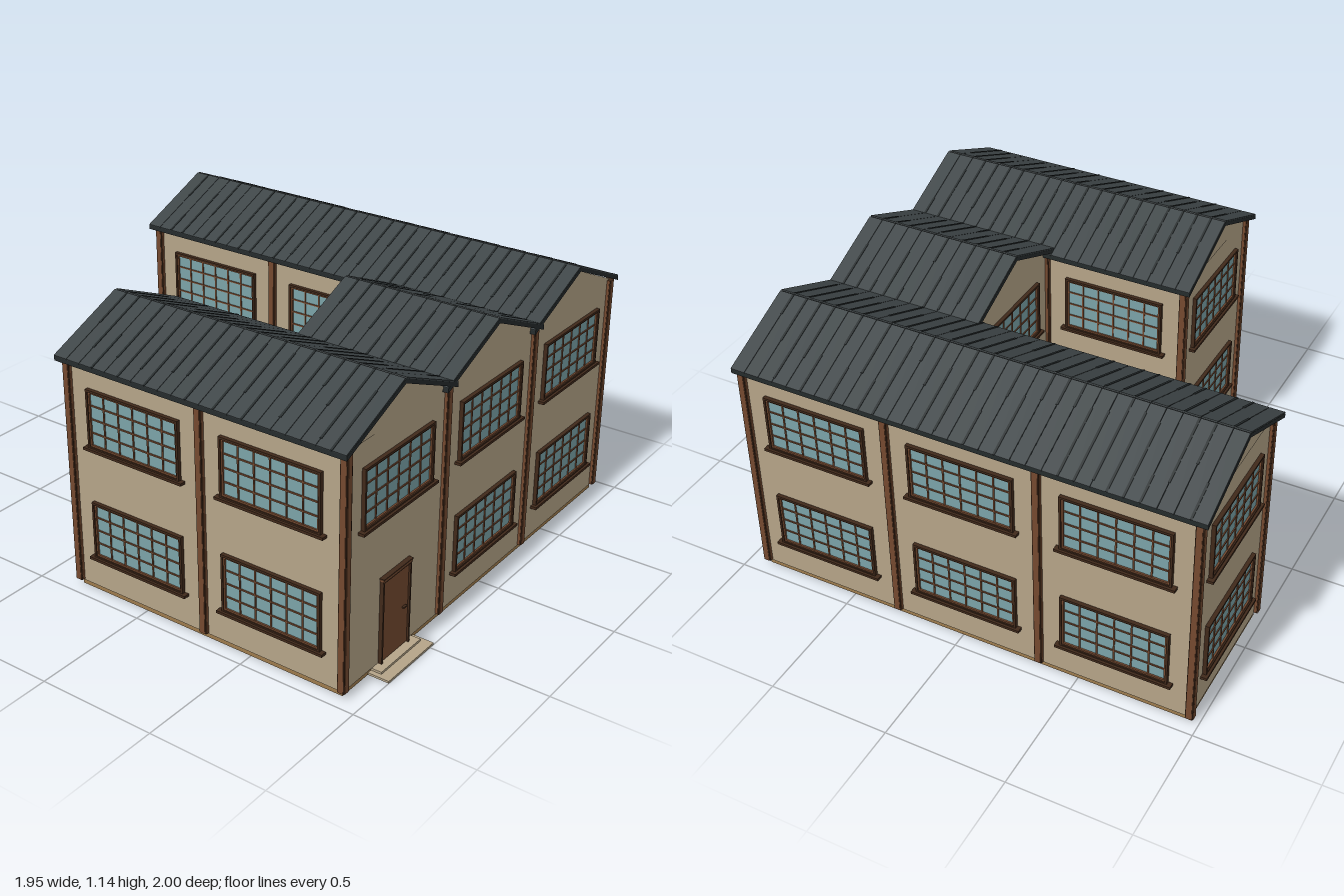
import * as THREE from 'three';

const mat = (name, color, side = THREE.FrontSide) => {
  const m = new THREE.MeshStandardMaterial({ color, side });
  m.name = name;
  return m;
};

// Layout: three bays across, pitch BAY; front wall at z = FRONT
const BAY = 0.626, HALF = BAY / 2, FRONT = 0.914, EAVE = 0.98;
const zLine = (n) => FRONT - n * BAY;

export function createModel() {
  const wall = mat('plaster', 0xb5a488);
  const stone = mat('foundation stone', 0x9c7a4c);
  const wood = mat('brown wood', 0x74492f);
  const darkWood = mat('dark wood', 0x40291a);
  const glass = mat('window glass', 0x7ba3a8);
  const slate = mat('roof slate', 0x3e4547);
  const darkSlate = mat('dark roof', 0x252b2c);

  const root = new THREE.Group();
  root.name = 'building';

  const add = (parent, name, geometry, material, x = 0, y = 0, z = 0) => {
    const mesh = new THREE.Mesh(geometry, material);
    mesh.name = name;
    mesh.position.set(x, y, z);
    parent.add(mesh);
    return mesh;
  };
  const box = (parent, name, material, w, h, d, x, y, z) =>
    add(parent, name, new THREE.BoxGeometry(w, h, d), material, x, y, z);

  // U-shaped footprint, extruded upward; inset shrinks it on every side
  const footprint = (inset, height) => {
    const o = 1.5 * BAY - inset, i = HALF + inset;
    const pts = [
      [-o, -FRONT + inset], [o, -FRONT + inset], [o, -zLine(3) - inset], [i, -zLine(3) - inset],
      [i, -zLine(1) - inset], [-i, -zLine(1) - inset], [-i, -zLine(2) - inset], [-o, -zLine(2) - inset],
    ].map(([x, y]) => new THREE.Vector2(x, y));
    return new THREE.ExtrudeGeometry(new THREE.Shape(pts), { depth: height, bevelEnabled: false }).rotateX(-Math.PI / 2);
  };
  add(root, 'foundation', footprint(0.004, 0.021), stone);
  add(root, 'walls', footprint(0, EAVE - 0.02), wall, 0, 0.02, 0);

  // Gabled roofs
  let seed = 7;
  const rand = () => (seed = (seed * 16807) % 2147483647) / 2147483647;
  const RIDGE = 1.135, RUN = 0.346, SLOPE = 0.43;
  const slopeLength = RUN * Math.hypot(1, SLOPE);

  const prism = (pts, depth) => new THREE.ExtrudeGeometry(
    new THREE.Shape(pts.map(([x, y]) => new THREE.Vector2(x, y))), { depth, bevelEnabled: false });

  const addRoof = (x, bays) => {
    const back = zLine(bays), length = FRONT - back;
    add(root, 'gable', prism([[-HALF, EAVE], [HALF, EAVE], [0, RIDGE - 0.018]], length + 0.004), wall, x, 0, back - 0.002);

    const roof = new THREE.Group();
    roof.name = 'roof';
    const z0 = back - 0.036, total = FRONT + 0.024 - z0, low = RIDGE - RUN * SLOPE;
    add(roof, 'roofDeck', prism([
      [-RUN, low - 0.018], [0, RIDGE - 0.018], [RUN, low - 0.018],
      [RUN, low], [0, RIDGE], [-RUN, low]], total), darkSlate, x, 0, z0);

    const count = Math.round(total / 0.0626), step = total / count;
    for (const side of [-1, 1]) {
      const pitch = new THREE.Group();
      pitch.name = 'roofPitch';
      pitch.position.set(x, RIDGE, z0);
      pitch.rotation.z = -side * Math.atan(SLOPE);
      for (let i = 0; i < count; i++) {
        const z = (i + 0.5) * step;
        box(pitch, 'roofPlank', slate, slopeLength - 0.003, 0.005, step - 0.002,
          side * (slopeLength / 2 + 0.0015), 0.0025, z);
        // raised dark lap along part of each joint
        const len = slopeLength * (0.25 + 0.7 * rand());
        const start = rand() < 0.6 ? 0.003 : slopeLength - len;
        if (i) box(pitch, 'plankLap', darkSlate, len, 0.004, 0.009, side * (start + len / 2), 0.005, i * step);
      }
      roof.add(pitch);
    }
    root.add(roof);
  };
  addRoof(-BAY, 2);
  addRoof(0, 1);
  addRoof(BAY, 3);

  // Posts at the bay lines; dark core with brown faces
  const addPost = (x, z) => {
    const post = new THREE.Group();
    post.name = 'post';
    post.position.set(x, 0.5, z);
    box(post, 'postCore', darkWood, 0.03, 0.952, 0.03, 0, 0, 0);
    box(post, 'postFace', wood, 0.022, 0.95, 0.034, 0, 0, 0);
    box(post, 'postFace', wood, 0.034, 0.95, 0.022, 0, 0, 0);
    root.add(post);
  };
  [[-1.5, 2], [-0.5, 2], [0.5, 3], [1.5, 3]].forEach(([column, last]) => {
    for (let n = 0; n <= last; n++) addPost(column * BAY, zLine(n));
  });

  // Window facing local +z, centred at its group origin
  const W = 0.44, H = 0.245;
  const addWindow = (parent, y) => {
    const win = new THREE.Group();
    win.name = 'window';
    win.position.y = y;
    box(win, 'windowPane', glass, W - 0.01, H - 0.01, 0.004, 0, 0, 0.002);
    for (const s of [-1, 1]) {
      box(win, 'frameSide', darkWood, 0.009, H, 0.016, s * (W / 2 - 0.0045), 0, 0.008);
      box(win, 'frameRail', darkWood, W, 0.009, 0.016, 0, s * (H / 2 - 0.0045), 0.008);
      box(win, 'sashSide', wood, 0.007, H - 0.018, 0.011, s * (W / 2 - 0.0125), 0, 0.0055);
      box(win, 'sashRail', wood, W - 0.018, 0.007, 0.011, 0, s * (H / 2 - 0.0125), 0.0055);
    }
    for (let i = 1; i < 6; i++) box(win, 'muntin', wood, 0.006, H - 0.02, 0.008, (i / 6 - 0.5) * (W - 0.02), 0, 0.004);
    for (let i = 1; i < 4; i++) box(win, 'glazingBar', wood, W - 0.02, 0.006, 0.008, 0, (i / 4 - 0.5) * (H - 0.02), 0.004);
    box(win, 'sill', darkWood, 0.475, 0.011, 0.026, 0, -H / 2 - 0.002, 0.013);
    parent.add(win);
  };

  // Door facing local +z
  const addDoor = (parent) => {
    const door = new THREE.Group();
    door.name = 'door';
    box(door, 'doorLeaf', wood, 0.17, 0.345, 0.008, 0, 0.195, 0.004);
    for (const s of [-1, 1]) box(door, 'doorJamb', darkWood, 0.008, 0.355, 0.016, s * 0.088, 0.1975, 0.008);
    box(door, 'doorHead', darkWood, 0.186, 0.008, 0.016, 0, 0.366, 0.008);
    box(door, 'doorLintel', wood, 0.186, 0.008, 0.018, 0, 0.374, 0.009);
    box(door, 'doorCap', darkWood, 0.19, 0.005, 0.02, 0, 0.38, 0.01);
    box(door, 'doorHandle', darkWood, 0.022, 0.005, 0.012, 0.056, 0.19, 0.012);
    parent.add(door);
  };

  // Every exposed bay: centre x, centre z, facing angle, ground floor has a door
  const mid = (n) => zLine(n + 0.5), Q = Math.PI / 2, OUT = 1.5 * BAY;
  const bays = [
    [-BAY, FRONT, 0, true], [0, FRONT, 0], [BAY, FRONT, 0],
    [-BAY, zLine(2), 2 * Q], [0, zLine(1), 2 * Q], [BAY, zLine(3), 2 * Q],
    [OUT, mid(0), Q], [OUT, mid(1), Q], [OUT, mid(2), Q],
    [-OUT, mid(0), -Q], [-OUT, mid(1), -Q],
    [-HALF, mid(1), Q], [HALF, mid(1), -Q], [HALF, mid(2), -Q],
  ];
  for (const [x, z, angle, hasDoor] of bays) {
    const bay = new THREE.Group();
    bay.name = 'bayOpenings';
    bay.position.set(x, 0, z);
    bay.rotation.y = angle;
    if (hasDoor) addDoor(bay);
    else addWindow(bay, 0.28);
    addWindow(bay, 0.758);
    root.add(bay);
  }

  // Entrance steps
  box(root, 'lowerStep', wall, 0.3, 0.009, 0.09, -BAY, 0.0045, 0.955);
  box(root, 'upperStep', wall, 0.26, 0.009, 0.045, -BAY, 0.0135, 0.9325);

  return root;
}
